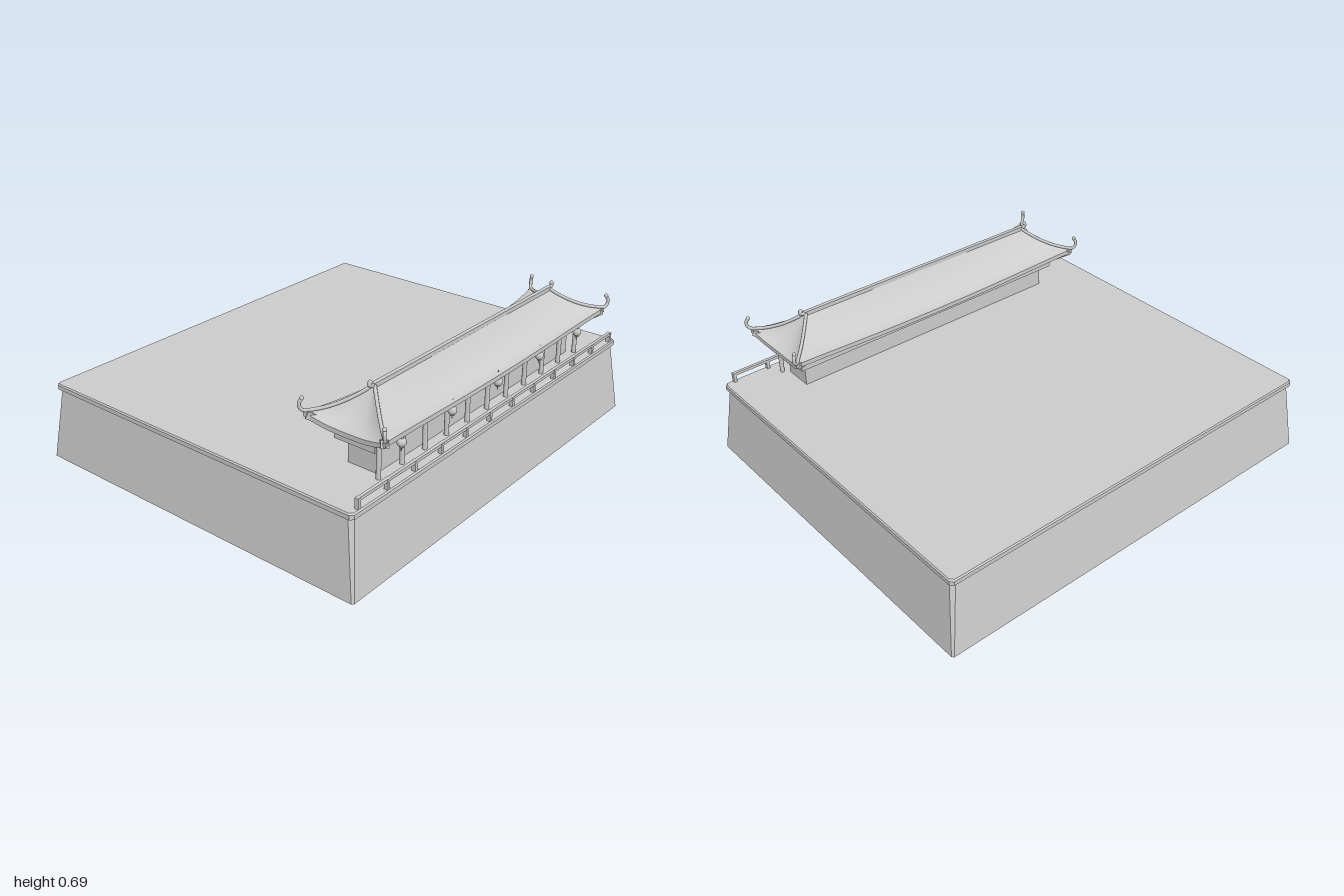
import * as THREE from 'three';

const mat = new THREE.MeshStandardMaterial({ color: 0xcccccc, side: THREE.DoubleSide });
const ZC = 0.636; // centre line of the hall

function add(parent, name, geo, x = 0, y = 0, z = 0) {
  const m = new THREE.Mesh(geo, mat);
  m.name = name;
  m.position.set(x, y, z);
  parent.add(m);
  return m;
}
const box = (w, h, d) => new THREE.BoxGeometry(w, h, d);
const v3 = (x, y, z) => new THREE.Vector3(x, y, z);
const tube = (pts, r, n = 24) => new THREE.TubeGeometry(new THREE.CatmullRomCurve3(pts), n, r, 8);

// Grid surface from a point function over (i, j)
function gridSurface(nu, nv, point) {
  const pos = [], idx = [];
  for (let j = 0; j <= nv; j++) for (let i = 0; i <= nu; i++) pos.push(...point(i / nu, j / nv));
  for (let j = 0; j < nv; j++) for (let i = 0; i < nu; i++) {
    const a = j * (nu + 1) + i, b = a + nu + 1;
    idx.push(a, b, a + 1, a + 1, b, b + 1);
  }
  const g = new THREE.BufferGeometry();
  g.setAttribute('position', new THREE.Float32BufferAttribute(pos, 3));
  g.setIndex(idx);
  g.computeVertexNormals();
  return g;
}

// Corner points of a rectangle with cut corners
function cutRect(x, z, c) {
  return [[x - c, z], [x, z - c], [x, c - z], [x - c, -z], [c - x, -z], [-x, c - z], [-x, z - c], [c - x, z]];
}

// Sloped walls between two outlines, flat faced
function loftWalls(rings) {
  const pos = [];
  for (let r = 0; r + 1 < rings.length; r++) {
    const [y0, p] = rings[r], [y1, q] = rings[r + 1];
    p.forEach((a, i) => {
      const k = (i + 1) % p.length;
      const A = [a[0], y0, a[1]], B = [p[k][0], y0, p[k][1]];
      const C = [q[k][0], y1, q[k][1]], D = [q[i][0], y1, q[i][1]];
      pos.push(...A, ...B, ...C, ...A, ...C, ...D);
    });
  }
  const g = new THREE.BufferGeometry();
  g.setAttribute('position', new THREE.Float32BufferAttribute(pos, 3));
  g.computeVertexNormals();
  return g;
}

// Roof slopes: w runs along the eave (-1..1), t from ridge (0) to eave (1)
const drop = t => 1 - Math.pow(1 - t, 1.9);
const eaveY = w => 0.528 + 0.036 * Math.pow(Math.abs(w), 2.5);
function longSlope(w, t) {
  const ez = 0.163 + 0.027 * Math.pow(w, 4);
  return v3(w * (0.62 + 0.18 * t), 0.662 + (eaveY(w) - 0.662) * drop(t), ez * t);
}
function endSlope(w, t) {
  const ex = 0.16 + 0.02 * w * w;
  return v3(0.62 + ex * t, 0.662 + (eaveY(w) - 0.662) * drop(t), -w * 0.19 * t);
}

function buildRoof() {
  const roof = new THREE.Group();
  roof.name = 'roof';
  roof.position.z = ZC;
  const slopes = [['longSlope', longSlope, 48, 0.6], ['endSlope', endSlope, 20, 0.62]];
  for (const turn of [0, Math.PI]) {
    const half = new THREE.Group();
    half.name = 'roofHalf';
    half.rotation.y = turn;
    roof.add(half);
    for (const [name, fn, n] of slopes) {
      add(half, name, gridSurface(n, 16, (u, t) => fn(u * 2 - 1, t).toArray()));
      // Eave board and soffit
      add(half, name + 'Eave', gridSurface(n, 1, (u, t) => {
        const p = fn(u * 2 - 1, 1);
        return [p.x, p.y - 0.02 * t, p.z];
      }));
      add(half, name + 'Soffit', gridSurface(n, 4, (u, t) => {
        const p = fn(u * 2 - 1, 1), q = fn(u * 2 - 1, 0.45);
        return [p.x + (q.x - p.x) * t, p.y - 0.02 + (0.525 - p.y + 0.02) * t, p.z + (q.z - p.z) * t];
      }));
    }
  }

  // Main ridge with upturned ends
  add(roof, 'ridge', box(1.26, 0.018, 0.018), 0, 0.664, 0);
  for (const s of [-1, 1]) {
    add(roof, 'ridgeFinial', tube([v3(s * 0.605, 0.662, 0), v3(s * 0.632, 0.664, 0),
      v3(s * 0.65, 0.673, 0), v3(s * 0.647, 0.683, 0)], 0.009, 12));
    add(roof, 'ridgeFinialTip', new THREE.SphereGeometry(0.009, 10, 8), s * 0.647, 0.683, 0);

    // Hip ridges curling up at the corners, with a bracket beneath
    for (const k of [-1, 1]) {
      const pts = [];
      for (let i = 0; i <= 6; i++) {
        const p = longSlope(1, i / 6);
        pts.push(v3(s * p.x, p.y + 0.004, k * p.z));
      }
      pts.push(v3(s * 0.811, 0.58, k * 0.196), v3(s * 0.814, 0.6, k * 0.198), v3(s * 0.806, 0.618, k * 0.191));
      add(roof, 'hipRidge', tube(pts, 0.0075, 40));
      add(roof, 'hipTip', new THREE.SphereGeometry(0.009, 10, 8), s * 0.806, 0.62, k * 0.191);
      const bracket = add(roof, 'cornerBracket', box(0.03, 0.03, 0.09), s * 0.762, 0.535, k * 0.152);
      bracket.rotation.order = 'YXZ';
      bracket.rotation.y = Math.atan2(s, k);
      bracket.rotation.x = -0.4;
    }
  }
  return roof;
}

function buildLantern(x) {
  const g = new THREE.Group();
  g.name = 'lantern';
  g.position.set(x, 0.487, 0.782);
  const globe = add(g, 'lanternGlobe', new THREE.SphereGeometry(0.019, 16, 12));
  globe.scale.y = 1.05;
  for (const s of [-1, 1]) add(g, 'lanternCap', new THREE.CylinderGeometry(0.009, 0.009, 0.006, 12), 0, s * 0.019, 0);
  add(g, 'lanternCord', new THREE.CylinderGeometry(0.002, 0.002, 0.03, 6), 0, 0.034, 0);
  add(g, 'lanternTassel', new THREE.CylinderGeometry(0.002, 0.003, 0.014, 6), 0, -0.028, 0);
  return g;
}

export function createModel() {
  const model = new THREE.Group();
  model.name = 'gatePavilion';

  // Hollow battered base, open underneath, with a coping and deck
  const base = new THREE.Group();
  base.name = 'base';
  add(base, 'baseWalls', loftWalls([[0, cutRect(1, 0.845, 0.008)], [0.32, cutRect(0.962, 0.807, 0.016)]]));
  add(base, 'coping', loftWalls([[0.32, cutRect(0.962, 0.807, 0.016)], [0.325, cutRect(0.972, 0.817, 0.014)],
    [0.344, cutRect(0.972, 0.817, 0.014)], [0.35, cutRect(0.967, 0.812, 0.014)]]));
  const deck = new THREE.ShapeGeometry(new THREE.Shape(cutRect(0.967, 0.812, 0.014).map(p => new THREE.Vector2(...p))));
  add(base, 'deck', deck.rotateX(-Math.PI / 2), 0, 0.35, 0);
  model.add(base);

  // Hall: room, head beam and front colonnade
  const hall = new THREE.Group();
  hall.name = 'hall';
  add(hall, 'room', box(1.39, 0.11, 0.136), 0, 0.405, 0.64);
  add(hall, 'headBeam', box(1.46, 0.075, 0.19), 0, 0.4915, 0.63);
  for (let i = 0; i <= 10; i++) {
    add(hall, 'column', new THREE.CylinderGeometry(0.01, 0.01, 0.18, 12), -0.72 + i * 0.144, 0.44, 0.736);
  }
  for (let i = -2; i <= 2; i++) hall.add(buildLantern(i * 0.3225));
  model.add(hall);

  // Railing along the front edge
  const railing = new THREE.Group();
  railing.name = 'railing';
  add(railing, 'topRail', box(1.862, 0.013, 0.014), 0, 0.388, 0.803);
  for (let i = 0; i <= 11; i++) add(railing, 'railPost', box(0.014, 0.045, 0.018), -0.924 + i * 0.168, 0.3715, 0.803);
  model.add(railing);

  model.add(buildRoof());
  return model;
}
